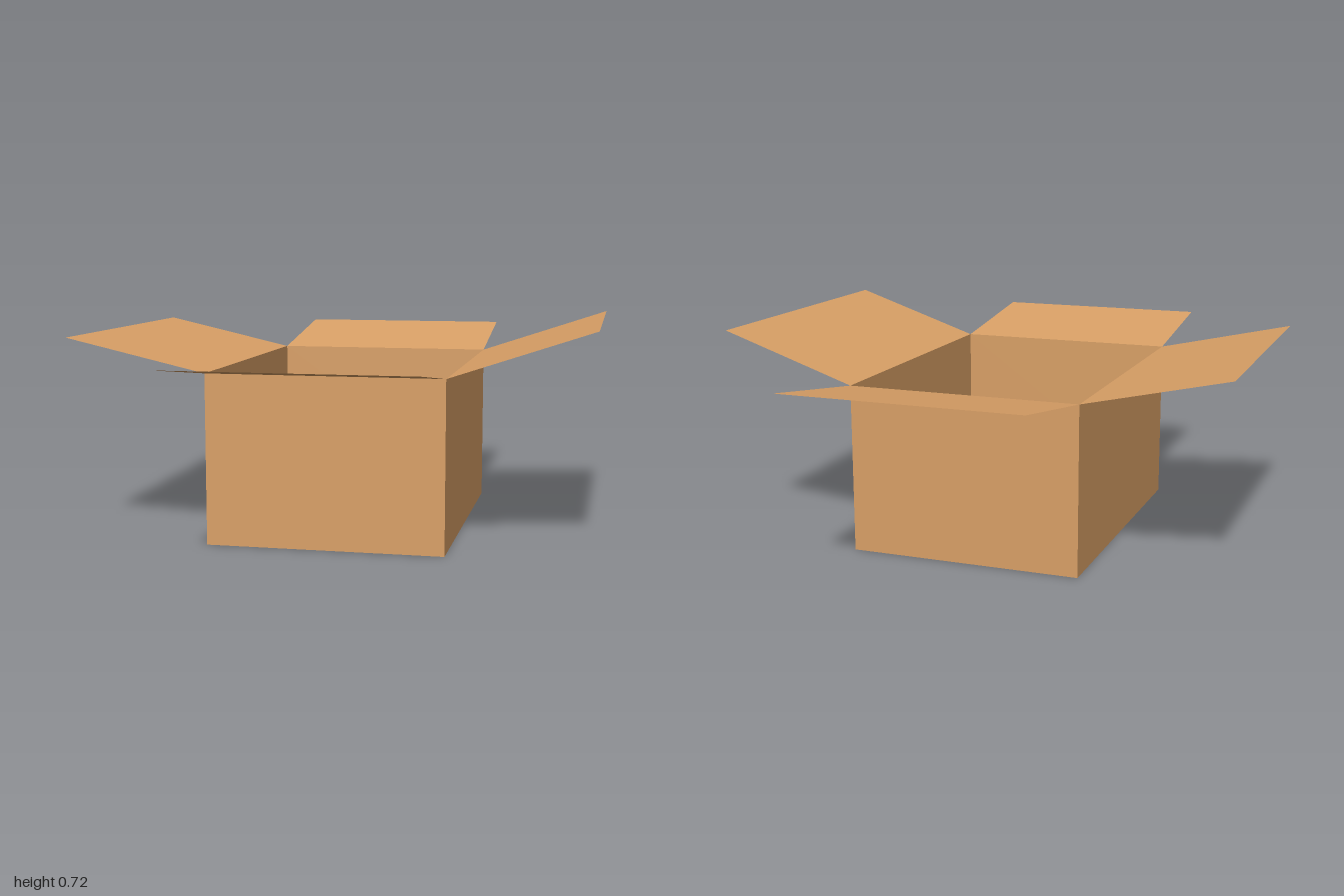
import * as THREE from 'three';

const WIDTH = 0.785, DEPTH = 1.032, HEIGHT = 0.565, FLAP = 0.488;

export function createModel() {
  const model = new THREE.Group();
  model.name = 'openCardboardBox';
  const cardboard = new THREE.MeshStandardMaterial({ color: 0xd9a066, side: THREE.DoubleSide });

  const box = new THREE.Group();
  box.name = 'box';
  box.position.x = 0.004;
  model.add(box);

  // Floor, facing down
  const floor = new THREE.Mesh(new THREE.PlaneGeometry(WIDTH, DEPTH).rotateX(Math.PI / 2), cardboard);
  floor.name = 'floor';
  box.add(floor);

  // One wall with its flap hinged on the top edge, built facing +z and then turned
  function addSide(name, turn, width, distance, liftDegrees) {
    const side = new THREE.Group();
    side.name = name + 'Side';
    side.rotation.y = turn;

    const wall = new THREE.Mesh(new THREE.PlaneGeometry(width, HEIGHT), cardboard);
    wall.name = name + 'Wall';
    wall.position.set(0, HEIGHT / 2, distance);

    const flapGeometry = new THREE.PlaneGeometry(width, FLAP).rotateX(-Math.PI / 2).translate(0, 0, FLAP / 2);
    const flap = new THREE.Mesh(flapGeometry, cardboard);
    flap.name = name + 'Flap';
    flap.position.set(0, HEIGHT, distance);
    flap.rotation.x = -THREE.MathUtils.degToRad(liftDegrees);

    side.add(wall, flap);
    box.add(side);
  }

  // Each flap is folded out by a slightly different angle
  addSide('front', 0, WIDTH, DEPTH / 2, 7.1);
  addSide('left', Math.PI / 2, DEPTH, WIDTH / 2, 18.5);
  addSide('back', Math.PI, WIDTH, DEPTH / 2, 8.8);
  addSide('right', -Math.PI / 2, DEPTH, WIDTH / 2, 12.7);

  return model;
}
